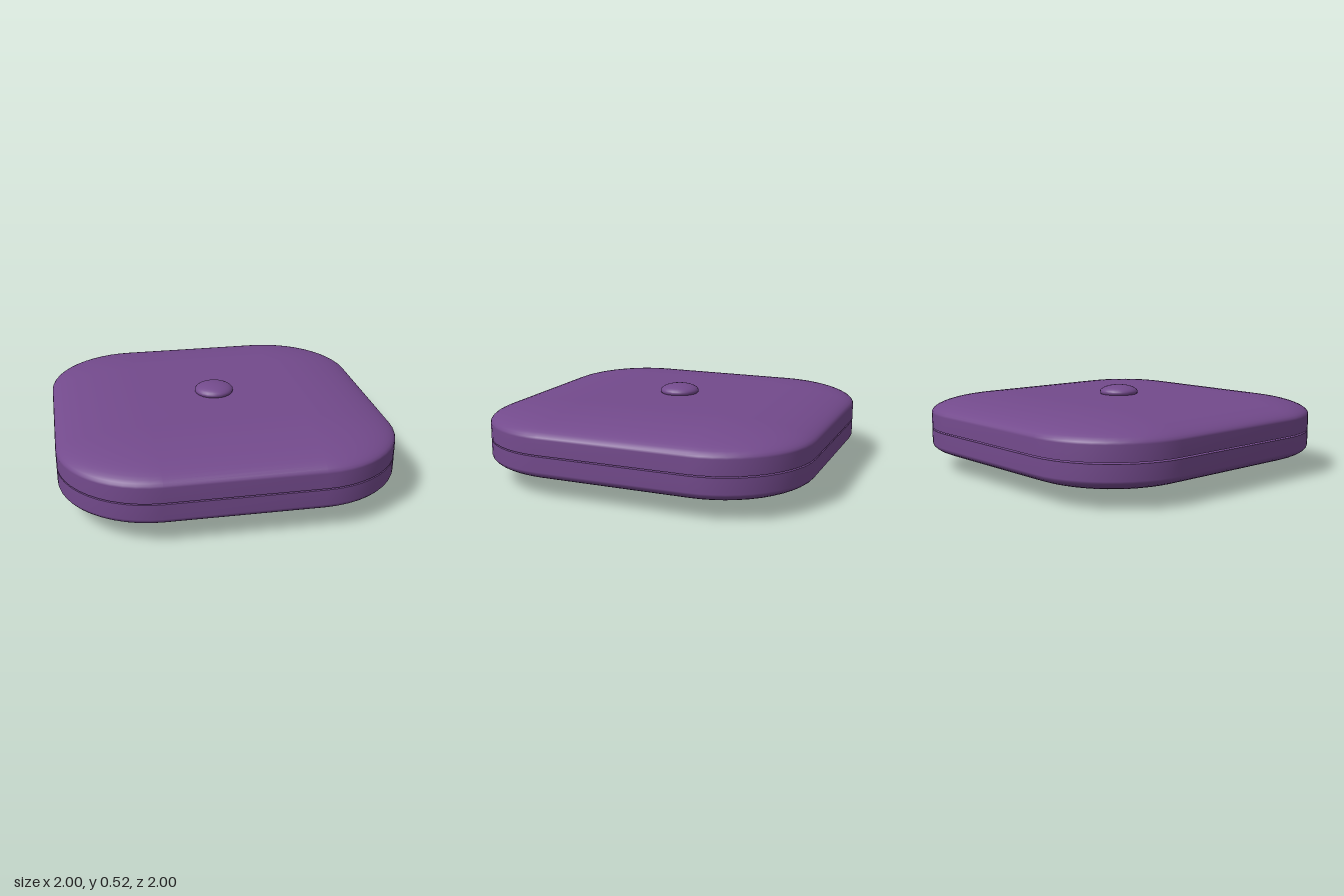
import * as THREE from 'three';

const MID = 0.258;      // height of the seam
const CORNER = 0.55;    // corner radius in plan
const FLAT = 1 - CORNER;
const STEPS = 12;       // segments per corner

// Rounded-square loop, inset from the outer edge, at height y
function ringPoints(inset, y) {
  const r = CORNER - inset, points = [];
  for (let c = 0; c < 4; c++) {
    const cx = c === 0 || c === 3 ? FLAT : -FLAT;
    const cz = c < 2 ? FLAT : -FLAT;
    for (let i = 0; i <= STEPS; i++) {
      const a = (c + i / STEPS) * Math.PI / 2;
      points.push(cx + r * Math.cos(a), y, cz + r * Math.sin(a));
    }
  }
  return points;
}

// One cushion half: flat base, straight wall, elliptical shoulder, flat crown
function halfGeometry() {
  const gap = 0.004, wall = 0.095, rise = 0.107, n = 4 * (STEPS + 1);
  const profile = [[0, gap], [0, wall]];
  for (let i = 1; i <= 14; i++) {
    const t = i / 14 * Math.PI / 2;
    profile.push([CORNER * 0.999 * (1 - Math.cos(t)), wall + rise * Math.sin(t)]);
  }
  const positions = profile.flatMap(([inset, y]) => ringPoints(inset, y));
  const index = [];
  for (let k = 0; k < profile.length - 1; k++) {
    for (let i = 0; i < n; i++) {
      const a = k * n + i, b = k * n + (i + 1) % n;
      index.push(a, a + n, b, b, a + n, b + n);
    }
  }
  // crown cap
  const last = (profile.length - 1) * n, top = positions.length / 3;
  positions.push(0, wall + rise, 0);
  for (let i = 0; i < n; i++) index.push(last + i, top, last + (i + 1) % n);
  // seam cap on its own vertices, so the seam edge stays crisp
  const base = positions.length / 3;
  positions.push(...ringPoints(0, gap), 0, gap, 0);
  for (let i = 0; i < n; i++) index.push(base + i, base + (i + 1) % n, base + n);

  const geometry = new THREE.BufferGeometry();
  geometry.setAttribute('position', new THREE.Float32BufferAttribute(positions, 3));
  geometry.setIndex(index);
  geometry.computeVertexNormals();
  return geometry;
}

export function createModel() {
  const model = new THREE.Group();
  model.name = 'cushion';
  const fabric = new THREE.MeshStandardMaterial({ color: 0x734a8c });
  const half = halfGeometry();
  const button = new THREE.SphereGeometry(0.12, 24, 16).scale(1, 0.36, 1);

  // The lower side is the upper side turned over
  for (const side of ['upper', 'lower']) {
    const group = new THREE.Group();
    group.name = side + 'Side';
    group.position.y = MID;
    if (side === 'lower') group.rotation.x = Math.PI;

    const pad = new THREE.Mesh(half, fabric);
    pad.name = side + 'Pad';
    const tuft = new THREE.Mesh(button, fabric);
    tuft.name = side + 'Button';
    tuft.position.y = 0.215;
    group.add(pad, tuft);
    model.add(group);
  }
  return model;
}
